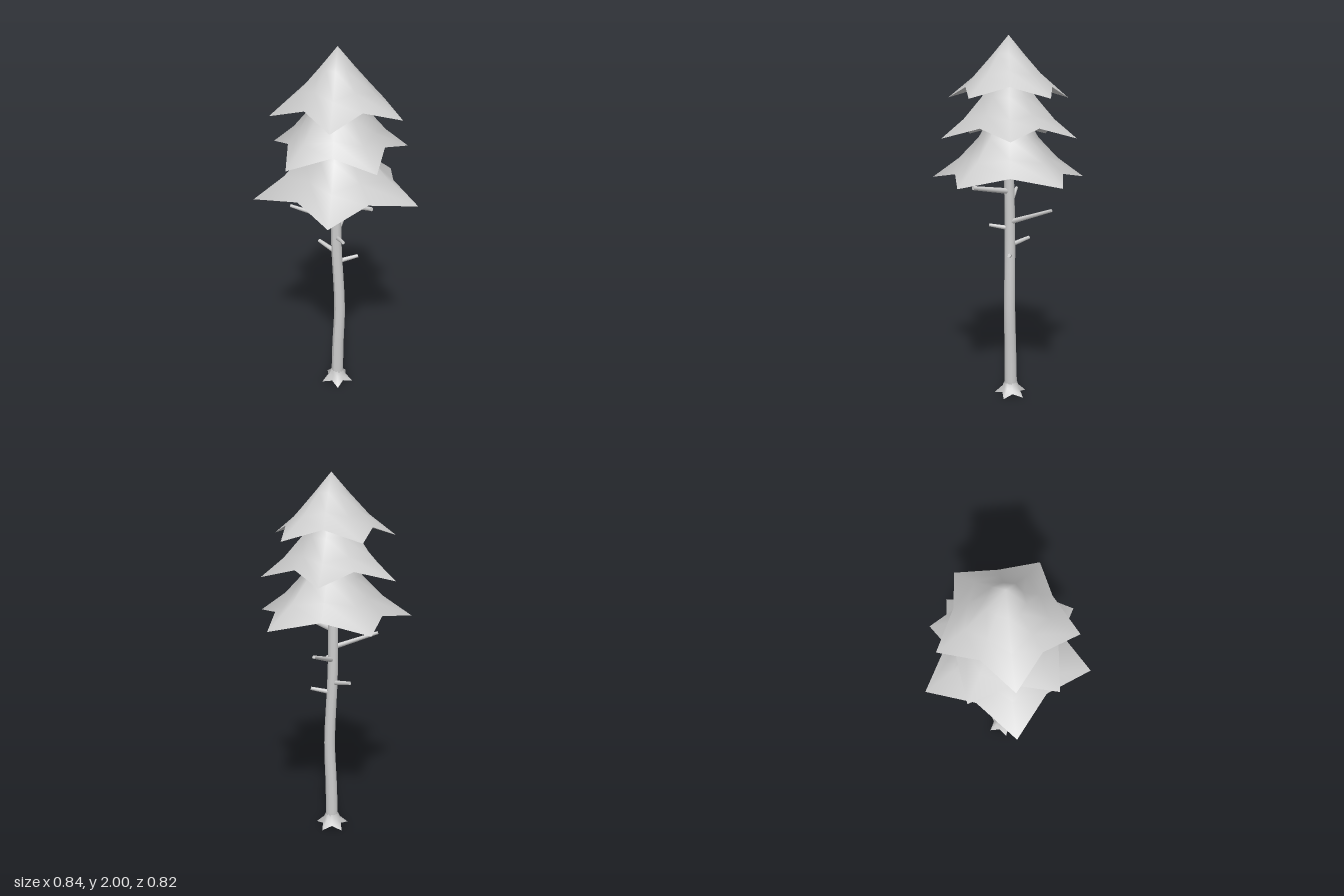
import * as THREE from 'three';
import { mergeVertices } from 'three/addons/utils/BufferGeometryUtils.js';

const material = new THREE.MeshStandardMaterial({ color: 0xcccccc });

function makeMesh(name, geometry) {
  const mesh = new THREE.Mesh(geometry, material);
  mesh.name = name;
  return mesh;
}

function buildGeometry(positions, index) {
  let g = new THREE.BufferGeometry();
  g.setAttribute('position', new THREE.Float32BufferAttribute(positions, 3));
  g.setIndex(index);
  g = mergeVertices(g, 1e-5);
  g.computeVertexNormals();
  return g;
}

// Five-pointed skirt. Rings run top to bottom: [tipRadius, tipY, valleyRadius, valleyY]
function star(name, rings, tipAngle, cx, cz, capY) {
  const group = new THREE.Group();
  group.name = name;
  const N = 10;
  const ringPoints = ([rt, yt, rv, yv]) => {
    const out = [];
    for (let i = 0; i < N; i++) {
      const a = tipAngle + (i / N) * Math.PI * 2;
      const r = i % 2 ? rv : rt;
      out.push(cx + r * Math.sin(a), i % 2 ? yv : yt, cz + r * Math.cos(a));
    }
    return out;
  };
  const index = [];
  for (let k = 0; k < rings.length - 1; k++) {
    for (let i = 0; i < N; i++) {
      const j = (i + 1) % N;
      const a = k * N + i, b = k * N + j, c = a + N, d = b + N;
      index.push(a, c, d, a, d, b);
    }
  }
  group.add(makeMesh(name + 'Skin', buildGeometry(rings.flatMap(ringPoints), index)));

  // Underside, a shallow fan to a centre point
  const capIndex = [];
  for (let i = 0; i < N; i++) capIndex.push(N, (i + 1) % N, i);
  const rim = ringPoints(rings[rings.length - 1]);
  group.add(makeMesh(name + 'Underside', buildGeometry([...rim, cx, capY, cz], capIndex)));
  return group;
}

// Centre line of the gently bent trunk
const bend = new THREE.CatmullRomCurve3([
  new THREE.Vector3(-0.013, 0, 0.032),
  new THREE.Vector3(-0.008, 0.25, 0.03),
  new THREE.Vector3(0.001, 0.52, 0.025),
  new THREE.Vector3(-0.011, 0.95, 0.037),
  new THREE.Vector3(-0.005, 1.4, 0.042),
]);

function makeTrunk() {
  const g = new THREE.CylinderGeometry(0.027, 0.036, 1, 12, 16, false);
  const p = g.attributes.position;
  const c = new THREE.Vector3();
  for (let i = 0; i < p.count; i++) {
    bend.getPoint(p.getY(i) + 0.5, c);
    p.setXYZ(i, p.getX(i) + c.x, Math.max(c.y, 0.02), p.getZ(i) + c.z);
  }
  g.computeVertexNormals();
  return makeMesh('trunk', g);
}

// Bare branch stub from inside the trunk to its tip
function makeBranch(from, to, r0, r1) {
  const a = new THREE.Vector3(...from), b = new THREE.Vector3(...to);
  const dir = b.clone().sub(a);
  const mesh = makeMesh('branch', new THREE.CylinderGeometry(r1, r0, dir.length(), 8));
  mesh.position.copy(a).add(b).multiplyScalar(0.5);
  mesh.quaternion.setFromUnitVectors(new THREE.Vector3(0, 1, 0), dir.normalize());
  return mesh;
}

export function createModel() {
  const tree = new THREE.Group();
  tree.name = 'pineTree';

  // Foliage tiers
  const cz = 0.033;
  tree.add(star('topFoliage', [
    [0, 2, 0, 2],
    [0.09, 1.9, 0.085, 1.9],
    [0.2, 1.785, 0.165, 1.81],
    [0.345, 1.675, 0.237, 1.732],
  ], Math.PI, 0, cz, 1.78));
  tree.add(star('middleFoliage', [
    [0.08, 1.79, 0.08, 1.79],
    [0.15, 1.68, 0.14, 1.68],
    [0.25, 1.567, 0.2, 1.59],
    [0.372, 1.468, 0.256, 1.525],
  ], 0, 0, cz, 1.56));
  tree.add(star('lowerFoliage', [
    [0.09, 1.6, 0.08, 1.6],
    [0.17, 1.465, 0.14, 1.465],
    [0.285, 1.35, 0.215, 1.365],
    [0.444, 1.238, 0.3, 1.28],
  ], Math.PI, 0, cz, 1.345));

  tree.add(makeTrunk());

  // Flared roots
  tree.add(star('roots', [
    [0.035, 0.075, 0.035, 0.075],
    [0.048, 0.045, 0.042, 0.045],
    [0.095, 0, 0.055, 0.016],
  ], Math.PI / 4, -0.013, 0.032, 0.016));

  // Branches: start, tip, start radius, tip radius
  const branches = [
    [[0, 1.175, 0.038], [0.233, 1.212, 0.035], 0.016, 0.011],
    [[-0.01, 1.075, 0.045], [-0.187, 1.16, 0.205], 0.014, 0.009],
    [[-0.01, 1.005, 0.03], [-0.11, 1.088, -0.197], 0.015, 0.009],
    [[-0.01, 0.968, 0.036], [0.09, 0.99, 0.092], 0.013, 0.009],
    [[-0.008, 0.872, 0.035], [-0.143, 0.9, 0.035], 0.014, 0.01],
    [[-0.008, 0.815, 0.035], [0.066, 0.842, -0.056], 0.014, 0.01],
  ];
  branches.forEach((b) => tree.add(makeBranch(...b)));

  return tree;
}
